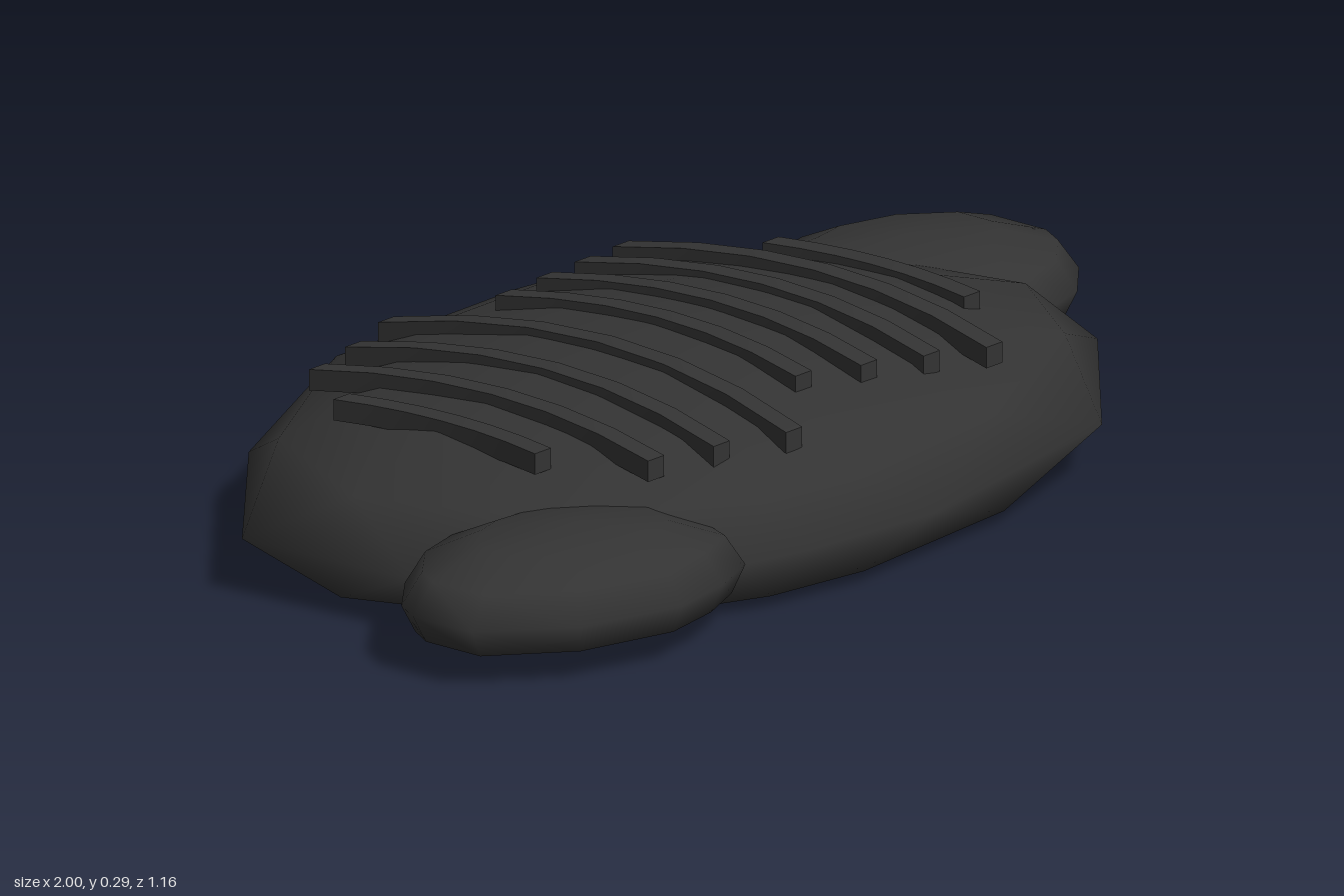
import * as THREE from 'three';

// Closed smooth shell: stacked outlines, [scale, height, shift] per ring.
// Shift -1 or 1 staggers a ring onto the middles of the outline's edges.
function shell(outline, cx, cz, rings) {
  const n = outline.length, pos = [], idx = [];
  for (const [s, y, shift = 0] of rings) {
    outline.forEach(([x, z], i) => {
      const [x2, z2] = outline[(i + shift + n) % n];
      pos.push(cx + ((x + x2) / 2 - cx) * s, y, cz + ((z + z2) / 2 - cz) * s);
    });
  }
  // the end rings collapse into single points
  const last = (rings.length - 1) * n;
  const merge = v => (v < n ? 0 : v >= last ? last : v);
  for (let r = 0; r < rings.length - 1; r++) {
    for (let i = 0; i < n; i++) {
      const a = r * n + i, b = r * n + (i + 1) % n;
      if (rings[r + 1][0] > 0) idx.push(merge(b), b + n, a + n);
      if (rings[r][0] > 0) idx.push(a, b, merge(a + n));
    }
  }
  const g = new THREE.BufferGeometry();
  g.setAttribute('position', new THREE.Float32BufferAttribute(pos, 3));
  g.setIndex(idx);
  g.computeVertexNormals();
  return g;
}

// Square bar along z, bowed sideways and arched over the back
function ridge(x, z0, z1, topY, endY) {
  const half = (z1 - z0) / 2;
  const g = new THREE.BoxGeometry(0.038, 0.034, half * 2, 1, 1, 6);
  const p = g.attributes.position;
  for (let i = 0; i < p.count; i++) {
    const t = (p.getZ(i) / half) ** 2;
    const bow = 0.034 * (half / 0.4) * (1 - t);
    p.setXYZ(i, p.getX(i) + x + bow,
      p.getY(i) + topY - 0.017 - (topY - 0.017 - endY) * t, p.getZ(i) + (z0 + z1) / 2);
  }
  g.computeVertexNormals();
  return g;
}

export function createModel() {
  const model = new THREE.Group();
  const charcoal = new THREE.MeshStandardMaterial({ color: 0x333333 });
  const add = (name, geometry) => {
    const mesh = new THREE.Mesh(geometry, charcoal);
    mesh.name = name;
    model.add(mesh);
    return mesh;
  };

  // Flattened body, outline counter-clockwise from above
  const bodyOutline = [
    [-0.08, -0.585], [-0.54, -0.43], [-0.87, -0.16], [-0.85, 0.17], [-0.66, 0.4],
    [-0.47, 0.51], [-0.34, 0.54], [-0.08, 0.57], [0.42, 0.48], [0.735, 0.2],
    [0.74, 0.03], [0.65, -0.19], [0.54, -0.34], [0.4, -0.44],
  ];
  add('body', shell(bodyOutline, -0.06, 0, [
    [0, 0, -1], [0.5, 0.004, -1], [0.96, 0.02, -1], [1, 0.09], [0.92, 0.175, 1],
    [0.68, 0.232, 1], [0.34, 0.27, 1], [0, 0.281, 1],
  ]));

  // Two rounded side lobes, the second turned half way round
  const lobeOutline = [
    [-1, 0.42], [-0.87, 0.53], [-0.69, 0.58], [-0.57, 0.56], [-0.47, 0.52], [-0.42, 0.4],
    [-0.47, 0.27], [-0.6, 0.17], [-0.78, 0.155], [-0.88, 0.18], [-0.97, 0.25], [-1, 0.3],
  ];
  const lobe = shell(lobeOutline, -0.7, 0.37, [
    [0, 0.038], [0.55, 0.04], [0.92, 0.05], [1, 0.095], [0.88, 0.145],
    [0.55, 0.178], [0, 0.192],
  ]);
  add('rightLobe', lobe);
  const left = add('leftLobe', lobe);
  left.rotation.y = Math.PI;
  left.scale.z = 1.06;
  left.position.z = 0.225;

  // Raised ridges across the back: x, z start, z end, top height, end height
  const ridges = [
    [-0.6, -0.19, 0.22, 0.252, 0.23], [-0.495, -0.33, 0.36, 0.266, 0.222],
    [-0.375, -0.36, 0.39, 0.277, 0.222], [-0.25, -0.4, 0.43, 0.288, 0.222],
    [-0.1, -0.29, 0.32, 0.293, 0.252], [0.02, -0.31, 0.35, 0.291, 0.246],
    [0.145, -0.34, 0.37, 0.284, 0.234], [0.27, -0.37, 0.39, 0.274, 0.221],
    [0.415, -0.19, 0.22, 0.252, 0.23],
  ];
  ridges.forEach((r, i) => add('ridge' + (i + 1), ridge(...r)));
  return model;
}
